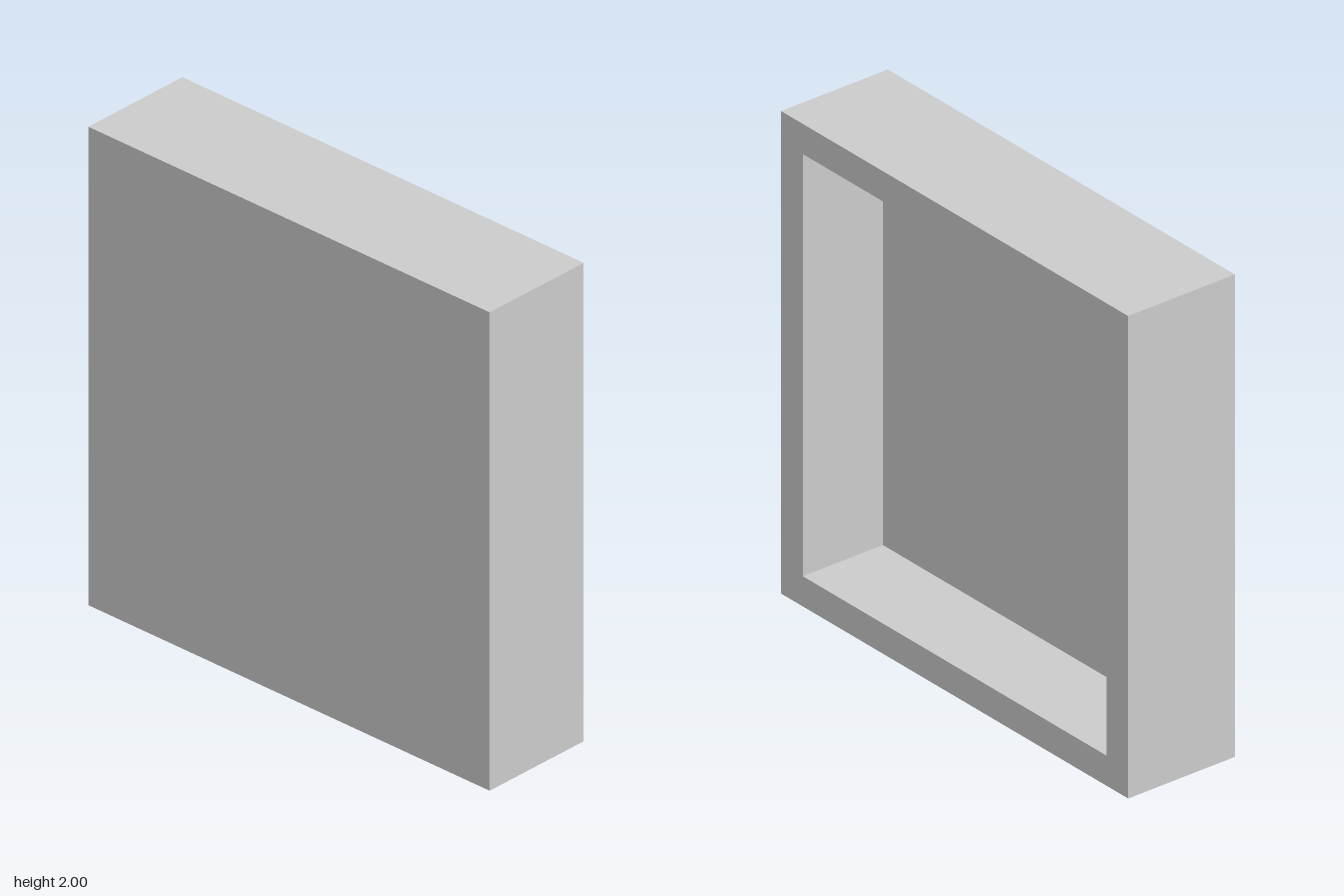
import * as THREE from 'three';

const HALF = 1;        // half the outer width and height
const DEPTH = 0.5;
const WALL = 0.125;    // thickness of rim and front panel

export function createModel() {
  const group = new THREE.Group();
  const front = DEPTH / 2, back = -DEPTH / 2;
  const inner = HALF - WALL, floor = front - WALL;

  // Section from the recess floor, around the rim, to the middle of the front face
  const section = [
    [0, floor], [inner, floor], [inner, back],
    [HALF, back], [HALF, front], [0, front],
  ].map(([half, z]) => new THREE.Vector2(half * Math.SQRT2, z));

  // Four-sided lathe: a square tray, turned so its recess opens to the back
  const geometry = new THREE.LatheGeometry(section, 4, Math.PI / 4).toNonIndexed();
  geometry.rotateX(Math.PI / 2);
  geometry.computeVertexNormals();

  const tray = new THREE.Mesh(
    geometry,
    new THREE.MeshStandardMaterial({ color: 0xcccccc, flatShading: true })
  );
  tray.name = 'hollowPanel';
  tray.position.y = HALF;
  group.add(tray);
  return group;
}
